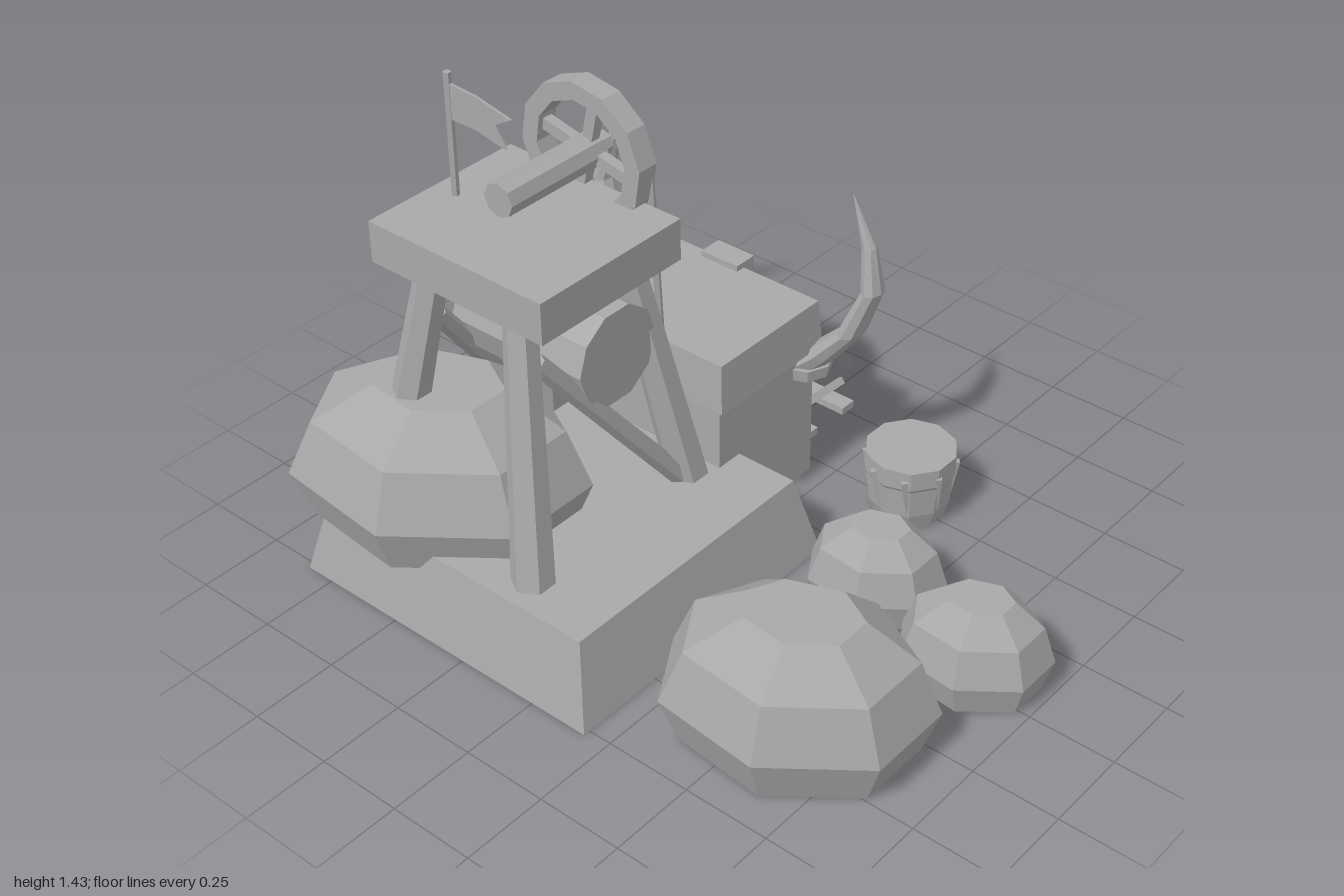
import * as THREE from 'three';

const grey = new THREE.MeshStandardMaterial({ color: 0xa8a8a8, flatShading: true, side: THREE.DoubleSide });
grey.name = 'stone grey';

const V = (x, y, z) => new THREE.Vector3(x, y, z);

// Closed skin over a list of rings (each ring runs clockwise seen from above, bottom ring first)
function loft(rings) {
  const pos = [];
  const tri = (...p) => p.forEach((v) => pos.push(v.x, v.y, v.z));
  const n = rings[0].length;
  const centre = (r) => r.reduce((s, p) => s.add(p), V(0, 0, 0)).divideScalar(n);
  const first = rings[0], last = rings[rings.length - 1];
  const c0 = centre(first), c1 = centre(last);
  for (let j = 0; j < n; j++) {
    const k = (j + 1) % n;
    for (let i = 0; i < rings.length - 1; i++) {
      const a = rings[i], b = rings[i + 1];
      tri(a[j], b[j], b[k]);
      tri(a[j], b[k], a[k]);
    }
    tri(c0, first[j], first[k]);
    tri(c1, last[k], last[j]);
  }
  const g = new THREE.BufferGeometry();
  g.setAttribute('position', new THREE.Float32BufferAttribute(pos, 3));
  g.computeVertexNormals();
  return g;
}

// Box given by its limits; the top face is drawn in by inset
function block(x0, x1, y0, y1, z0, z1, inset = 0) {
  const w = x1 - x0, d = z1 - z0;
  const g = new THREE.BoxGeometry(w, y1 - y0, d);
  const p = g.attributes.position;
  for (let i = 0; i < p.count; i++) {
    if (p.getY(i) > 0) {
      p.setX(i, p.getX(i) * (1 - 2 * inset / w));
      p.setZ(i, p.getZ(i) * (1 - 2 * inset / d));
    }
  }
  g.computeVertexNormals();
  return g.translate((x0 + x1) / 2, (y0 + y1) / 2, (z0 + z1) / 2);
}

// Straight pole between two points
function pole(a, b, ra, rb, sides) {
  const g = new THREE.CylinderGeometry(rb, ra, a.distanceTo(b), sides);
  const q = new THREE.Quaternion().setFromUnitVectors(V(0, 1, 0), b.clone().sub(a).normalize());
  return g.applyQuaternion(q).translate((a.x + b.x) / 2, (a.y + b.y) / 2, (a.z + b.z) / 2);
}

export function createModel() {
  const group = new THREE.Group();
  const add = (name, geometry) => {
    const m = new THREE.Mesh(geometry, grey);
    m.name = name;
    group.add(m);
    return m;
  };

  // Sloped base, open underneath
  const base = block(-0.84, 0.18, 0, 0.24, -0.19, 0.77, 0.055);
  base.setIndex([...base.index.array].filter((_, i) => i < 18 || i >= 24));
  add('base', base);

  // Boulders: one seven-sided outline, scaled
  const outline = [[-0.38, 0.06], [-0.28, -0.15], [0.055, -0.28], [0.31, -0.15], [0.31, 0.105], [0.065, 0.295], [-0.255, 0.265]];
  const levels = [[0, 0.86], [0.34, 1], [0.74, 0.83], [1, 0.43]];
  const boulder = (x, y, z, s, h) => add('boulder', loft(levels.map(([t, r]) =>
    outline.map(([px, pz]) => V(x + px * s * r, y + t * h, z + pz * s * r)))));
  boulder(0.59, 0, 0.40, 1, 0.385);
  boulder(0.43, 0, -0.125, 0.53, 0.25);
  boulder(0.81, 0, -0.04, 0.57, 0.265);
  boulder(-0.56, 0.187, 0.48, 1.16, 0.41);

  // Headframe: platform, four splayed legs and diagonal braces
  const cx = -0.385;
  add('platform', block(-0.68, -0.09, 0.96, 1.08, 0.07, 0.577));
  for (const s of [-1, 1]) {
    add('frontLeg', pole(V(cx + s * 0.28, 0.1, 0.64), V(cx + s * 0.15, 0.97, 0.505), 0.062, 0.045, 6));
    add('backLeg', pole(V(cx + s * 0.28, 0.1, -0.005), V(cx + s * 0.15, 0.97, 0.13), 0.062, 0.045, 6));
    add('brace', pole(V(cx + s * 0.26, 0.25, 0.05), V(cx + s * 0.175, 0.81, 0.485), 0.03, 0.027, 6));
  }

  // Winding drum between the legs
  add('drum', new THREE.CylinderGeometry(0.143, 0.143, 0.455, 10).rotateZ(Math.PI / 2).translate(cx, 0.725, 0.24));

  // Pulley wheel with spokes and axle
  const wy = 1.175;
  const polygon = (P, r) => {
    const p = new P();
    for (let i = 0; i < 12; i++) {
      const a = (i + 0.2) * Math.PI / 6;
      p[i ? 'lineTo' : 'moveTo'](r * Math.cos(a), r * Math.sin(a));
    }
    p.closePath();
    return p;
  };
  const rim = polygon(THREE.Shape, 0.203);
  rim.holes.push(polygon(THREE.Path, 0.152));
  add('wheelRim', new THREE.ExtrudeGeometry(rim, { depth: 0.065, bevelEnabled: false }).translate(cx, wy, 0.051));
  for (const i of [0, 1]) {
    add('spokes', new THREE.BoxGeometry(0.033, 0.33, 0.03).rotateZ(-0.22 + i * Math.PI / 2).translate(cx, wy, 0.083));
  }
  add('axle', pole(V(cx, wy, 0.06), V(cx, wy, 0.41), 0.048, 0.048, 8));
  add('axleStub', pole(V(cx, wy, 0.025), V(cx, wy, 0.1), 0.034, 0.034, 8));
  add('rope', pole(V(-0.2, 0.6, 0.025), V(-0.2, 1.2, 0.06), 0.011, 0.011, 5));

  // Flag with a swallow tail
  add('flagPole', pole(V(-0.605, 1.07, 0.345), V(-0.605, 1.43, 0.345), 0.011, 0.011, 6));
  const flag = new THREE.Shape([[0, 1.30], [0.09, 1.30], [0.19, 1.28], [0.15, 1.335], [0.21, 1.37], [0.09, 1.395], [0, 1.40]]
    .map(([x, y]) => new THREE.Vector2(x - 0.6, y)));
  add('flag', new THREE.ExtrudeGeometry(flag, { depth: 0.008, bevelEnabled: false }).translate(0, 0, 0.341));

  // Mine entrance hut with a recessed doorway
  add('hutBody', block(-0.68, -0.065, 0, 0.45, -0.40, -0.05));
  add('hutPillar', block(-0.68, -0.53, 0, 0.45, -0.457, -0.39));
  add('hutPillar', block(-0.215, -0.065, 0, 0.45, -0.457, -0.39));
  add('hutRoof', block(-0.713, -0.035, 0.445, 0.592, -0.46, -0.025, 0.01));
  add('keystone', block(-0.44, -0.31, 0.46, 0.61, -0.495, -0.42));

  // Curved horns on the sides of the entrance: x, y, z, x radius, z radius
  const path = [
    [-0.075, 0.39, -0.445, 0.06, 0.068], [-0.02, 0.44, -0.45, 0.05, 0.065], [0.065, 0.535, -0.46, 0.036, 0.055],
    [0.115, 0.675, -0.48, 0.029, 0.04], [0.09, 0.80, -0.492, 0.022, 0.022], [0.025, 0.935, -0.5, 0.001, 0.001],
  ];
  const horn = loft(path.map(([x, y, z, rx, rz]) => Array.from({ length: 8 }, (_, i) => {
    const a = i * Math.PI / 4;
    return V(x + rx * Math.cos(a), y, z + rz * Math.sin(a));
  })));
  const collar = new THREE.CylinderGeometry(0.085, 0.08, 0.037, 8).translate(-0.085, 0.377, -0.443);
  for (const s of [1, -1]) {
    for (const m of [add('horn', horn), add('hornCollar', collar)]) {
      m.scale.x = s;
      if (s < 0) m.position.x = -0.746;
    }
  }

  // Barrel with slanted outer strips
  const bx = 0.255, bz = -0.5;
  const profile = [[0, 0], [0.103, 0], [0.118, 0.05], [0.125, 0.14], [0.131, 0.15], [0.131, 0.208], [0, 0.208]];
  add('barrel', new THREE.LatheGeometry(profile.map(([r, y]) => new THREE.Vector2(r, y)), 10).translate(bx, 0, bz));
  for (let i = 0; i < 8; i++) {
    const a = i * Math.PI / 4 + 0.2;
    const at = (r, y, t) => V(bx + r * Math.cos(t), y, bz + r * Math.sin(t));
    add('barrelStrip', pole(at(0.112, 0.06, a), at(0.128, 0.18, a + 0.1), 0.006, 0.012, 4));
  }

  // Track leading out of the doorway
  for (const s of [-1, 1]) {
    add('rail', pole(V(-0.373 + s * 0.115, 0.034, -0.4), V(-0.373 + s * 0.138, 0.034, -0.825), 0.016, 0.016, 4));
  }
  for (const z of [-0.75, -0.575]) {
    add('sleeper', block(-0.595, -0.15, 0.003, 0.026, z - 0.027, z + 0.027));
  }
  return group;
}
